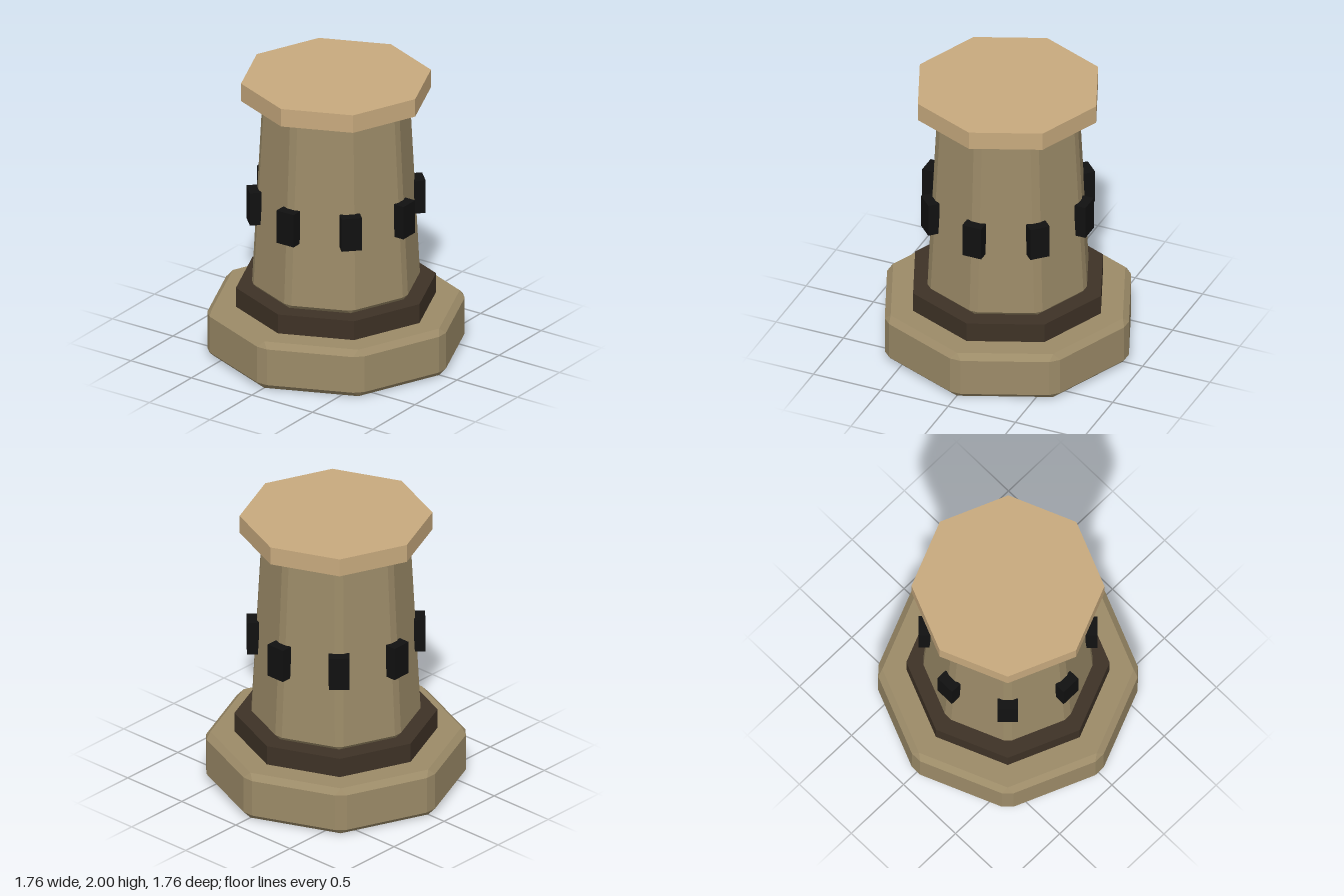
import * as THREE from 'three';

const SIDES = 8;
const paint = (color) => new THREE.MeshStandardMaterial({ color, flatShading: true });

// Octagon with a corner on each axis; every corner is split by a chamfer of half-width k.
function octagonRing(y, r, k) {
  const ring = [];
  const radial = r - k * Math.tan(Math.PI / SIDES);
  for (let i = 0; i < SIDES; i++) {
    const a = (i * 2 * Math.PI) / SIDES;
    for (const t of [-k, k]) {
      ring.push(new THREE.Vector3(
        radial * Math.sin(a) + t * Math.cos(a), y,
        radial * Math.cos(a) - t * Math.sin(a)));
    }
  }
  return ring;
}

// Closed solid lofted through [y, radius, chamfer] sections.
function loft(sections) {
  const rings = sections.map((s) => octagonRing(...s));
  const pos = [];
  const tri = (...corners) => {
    const [a, b, c] = corners;
    const area = b.clone().sub(a).cross(c.clone().sub(a)).length();
    if (area > 1e-9) corners.forEach((p) => pos.push(p.x, p.y, p.z));
  };
  const n = SIDES * 2;
  const last = rings.length - 1;
  const bottom = new THREE.Vector3(0, sections[0][0], 0);
  const top = new THREE.Vector3(0, sections[last][0], 0);
  for (let i = 0; i < n; i++) {
    const j = (i + 1) % n;
    for (let s = 0; s < last; s++) {
      tri(rings[s][i], rings[s][j], rings[s + 1][j]);
      tri(rings[s][i], rings[s + 1][j], rings[s + 1][i]);
    }
    tri(bottom, rings[0][j], rings[0][i]);
    tri(top, rings[last][i], rings[last][j]);
  }
  const g = new THREE.BufferGeometry();
  g.setAttribute('position', new THREE.Float32BufferAttribute(pos, 3));
  g.computeVertexNormals();
  return g;
}

export function createModel() {
  const group = new THREE.Group();
  const stone = paint(0x9c8b68);
  const darkStone = paint(0x3e3226);
  const paleStone = paint(0xc8aa7e);
  const black = paint(0x111111);

  const add = (name, geometry, material, y = 0, parent = group) => {
    const mesh = new THREE.Mesh(geometry, material);
    mesh.name = name;
    mesh.position.y = y;
    parent.add(mesh);
    return mesh;
  };

  // Bevelled plinth
  add('base', loft([
    [0, 0.853, 0], [0.04, 0.897, 0.04], [0.305, 0.897, 0.04], [0.345, 0.853, 0],
  ]), stone);

  // Dark step between plinth and shaft
  add('collar', new THREE.CylinderGeometry(0.69, 0.69, 0.14, SIDES), darkStone, 0.415);

  // Tapered shaft with softened edges
  add('shaft', loft([
    [0.485, 0.555, 0], [0.515, 0.586, 0.03], [1.84, 0.516, 0.03], [1.87, 0.485, 0],
  ]), stone);

  // Flat top slab
  add('cap', new THREE.CylinderGeometry(0.655, 0.655, 0.13, SIDES), paleStone, 1.935);

  // Window blocks, one on each corner of the shaft
  const windows = new THREE.Group();
  windows.name = 'windows';
  group.add(windows);
  const block = new THREE.BoxGeometry(0.14, 0.24, 0.08);
  for (let i = 0; i < SIDES; i++) {
    const a = (i * 2 * Math.PI) / SIDES;
    const w = add('window', block, black, 1.09, windows);
    w.position.x = 0.566 * Math.sin(a);
    w.position.z = 0.566 * Math.cos(a);
    w.rotation.y = a;
  }
  return group;
}
